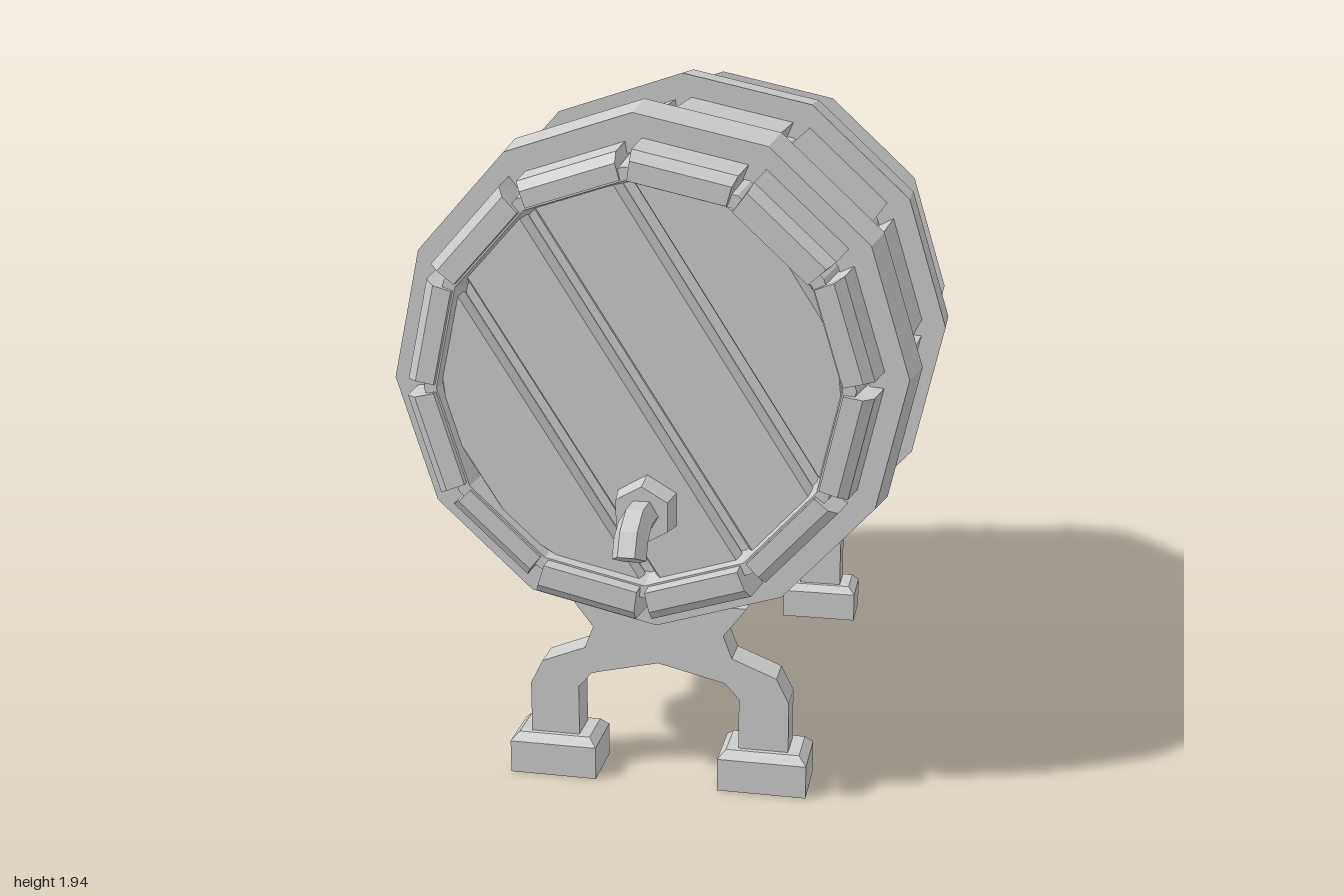
import * as THREE from 'three';

const CY = 1.18;      // barrel axis height
const SIDES = 12;
const TILT = 0.04;    // slight roll of the barrel
const mat = new THREE.MeshStandardMaterial({ color: 0xcccccc, flatShading: true });

function add(parent, geo, name) {
  const mesh = new THREE.Mesh(geo, mat);
  mesh.name = name;
  parent.add(mesh);
  return mesh;
}

// Twelve-sided turned solid along z; profile is [radius, z]
function turned(profile) {
  const pts = profile.map(([r, z]) => new THREE.Vector2(r, z));
  return new THREE.LatheGeometry(pts, SIDES).rotateX(Math.PI / 2).rotateZ(TILT);
}

// Closed solid through cross-sections (counter-clockwise loops, back to front)
function loft(sections) {
  const n = sections[0].length, index = [];
  for (let k = 0; k < sections.length - 1; k++) {
    for (let j = 0; j < n; j++) {
      const a = k * n + j, b = k * n + (j + 1) % n;
      index.push(a, b, b + n, a, b + n, a + n);
    }
  }
  const last = (sections.length - 1) * n;
  for (let j = 1; j < n - 1; j++) {
    index.push(0, j + 1, j, last, last + j, last + j + 1);
  }
  const geo = new THREE.BufferGeometry();
  geo.setAttribute('position', new THREE.Float32BufferAttribute(sections.flat(2), 3));
  geo.setIndex(index);
  geo.computeVertexNormals();
  return geo;
}

// One bowed stave with bevelled ends
function stave(i, zFront, zBack, lift) {
  const a0 = TILT + (i * 2 * Math.PI) / SIDES, a1 = a0 + (2 * Math.PI) / SIDES;
  const at = (r, t, z) => [
    r * THREE.MathUtils.lerp(Math.cos(a0), Math.cos(a1), t),
    r * THREE.MathUtils.lerp(Math.sin(a0), Math.sin(a1), t), z];
  const stations = [
    [zBack, 0.6], [zBack + 0.025, 0.632], [-0.57, 0.68], [-0.085, 0.7],
    [0.4, 0.675], [zFront - 0.025, 0.625], [zFront, 0.597]];
  return loft(stations.map(([z, r]) => [
    at(r + lift, 0.07, z), at(r + lift, 0.93, z), at(0.545, 0.96, z), at(0.545, 0.04, z)]));
}

// Diagonal boards of one barrel head, facing +z with their backs at z = 0
function headBoards() {
  const group = new THREE.Group();
  const cuts = [-0.535, -0.26, 0, 0.26, 0.535], gap = 0.012, bevel = 0.014, R = 0.535;
  for (let i = 0; i < 4; i++) {
    const u0 = cuts[i] + gap + bevel, u1 = cuts[i + 1] - gap - bevel;
    const edge = [];
    for (let k = 0; k <= 3; k++) {
      const u = u0 + ((u1 - u0) * k) / 3;
      edge.push(new THREE.Vector2(u, Math.sqrt(R * R - u * u)));
    }
    const outline = [...edge.map(p => new THREE.Vector2(p.x, -p.y)), ...edge.reverse()];
    const geo = new THREE.ExtrudeGeometry(new THREE.Shape(outline), {
      depth: 0.012, bevelEnabled: true, bevelSize: bevel, bevelThickness: 0.028, bevelSegments: 1 });
    add(group, geo, 'headBoard');
  }
  return group;
}

// Arched cradle with two block feet
function stand() {
  const group = new THREE.Group();
  const half = [[0, 0.355], [0.19, 0.31], [0.23, 0.265], [0.23, 0.1], [0.37, 0.1],
    [0.37, 0.265], [0.335, 0.335], [0.21, 0.385], [0.185, 0.45], [0.25, 0.535]];
  const mirrored = half.slice(1).reverse().map(([x, y]) => [-x, y]);
  const shape = new THREE.Shape([...half, ...mirrored].map(([x, y]) => new THREE.Vector2(x, y)));
  const arch = new THREE.ExtrudeGeometry(shape, { depth: 0.096, bevelEnabled: false });
  add(group, arch.translate(0, 0, -0.048), 'standArch');
  const rect = (w, d, y) => [[-w, y, d], [w, y, d], [w, y, -d], [-w, y, -d]];
  for (const side of [-1, 1]) {
    const foot = loft([rect(0.125, 0.082, 0), rect(0.125, 0.082, 0.095), rect(0.103, 0.062, 0.118)]);
    add(group, foot, 'standFoot').position.x = side * 0.3;
  }
  return group;
}

export function createModel() {
  const model = new THREE.Group();
  model.name = 'barrelOnStand';

  const barrel = new THREE.Group();
  barrel.name = 'barrel';
  barrel.position.y = CY;
  model.add(barrel);

  // Inner shell seen in the gaps, with recessed ends
  add(barrel, turned([[0, -0.87], [0.53, -0.87], [0.54, -0.955], [0.575, -0.955], [0.635, -0.57],
    [0.655, -0.085], [0.63, 0.4], [0.575, 0.78], [0.54, 0.78], [0.53, 0.7], [0, 0.7]]), 'innerShell');

  // Staves of uneven length and height
  const fronts = [0.795, 0.83, 0.805, 0.79, 0.8, 0.795, 0.8, 0.79, 0.825, 0.83, 0.8, 0.795];
  const backs = [0.985, 0.965, 1, 0.965, 0.97, 1, 0.965, 0.97, 0.96, 0.965, 0.96, 0.975];
  const lifts = [0.002, 0.01, 0, -0.006, 0.006, 0, 0.004, -0.004, 0.008, 0.004, -0.004, 0];
  for (let i = 0; i < SIDES; i++) add(barrel, stave(i, fronts[i], -backs[i], lifts[i]), 'stave');

  // Hoops: back z, front z, outer radius at each
  const hoops = [[-0.83, -0.68, 0.7, 0.724], [-0.17, 0, 0.76, 0.76], [0.51, 0.66, 0.724, 0.7]];
  for (const [z0, z1, r0, r1] of hoops) {
    add(barrel, turned([[0.6, z0], [r0, z0], [r1, z1], [0.6, z1], [0.6, z0]]), 'hoop');
  }

  // Boarded heads, both running down toward +x
  const front = headBoards();
  front.name = 'frontHead';
  front.position.z = 0.71;
  front.rotation.z = 0.57;
  const back = headBoards();
  back.name = 'backHead';
  back.position.z = -0.88;
  back.rotation.set(0, Math.PI, -0.57);
  barrel.add(front, back);

  // Tap: hexagonal flange and bent spout
  const tap = new THREE.Group();
  tap.name = 'tap';
  tap.position.set(0.025, 0.85, 0);
  model.add(tap);
  const flange = new THREE.CylinderGeometry(0.08, 0.096, 0.1, 6).rotateX(Math.PI / 2);
  add(tap, flange.rotateZ(Math.PI / 6 + Math.PI / 2), 'tapFlange').position.z = 0.77;
  const ring = [];
  for (let i = 0; i < 6; i++) {
    const a = (i * Math.PI) / 3;
    ring.push(new THREE.Vector2(0.045 * Math.cos(a), 0.045 * Math.sin(a)));
  }
  const path = new THREE.CatmullRomCurve3([[0.78, -0.005], [0.89, 0.005], [0.94, -0.02], [0.966, -0.07]]
    .map(([z, y]) => new THREE.Vector3(0, y, z)));
  add(tap, new THREE.ExtrudeGeometry(new THREE.Shape(ring), { steps: 4, extrudePath: path }), 'tapSpout');

  // Front and back stands
  for (const [z, name] of [[0.583, 'frontStand'], [-0.745, 'backStand']]) {
    const s = stand();
    s.name = name;
    s.position.set(0.025, 0, z);
    model.add(s);
  }
  return model;
}
